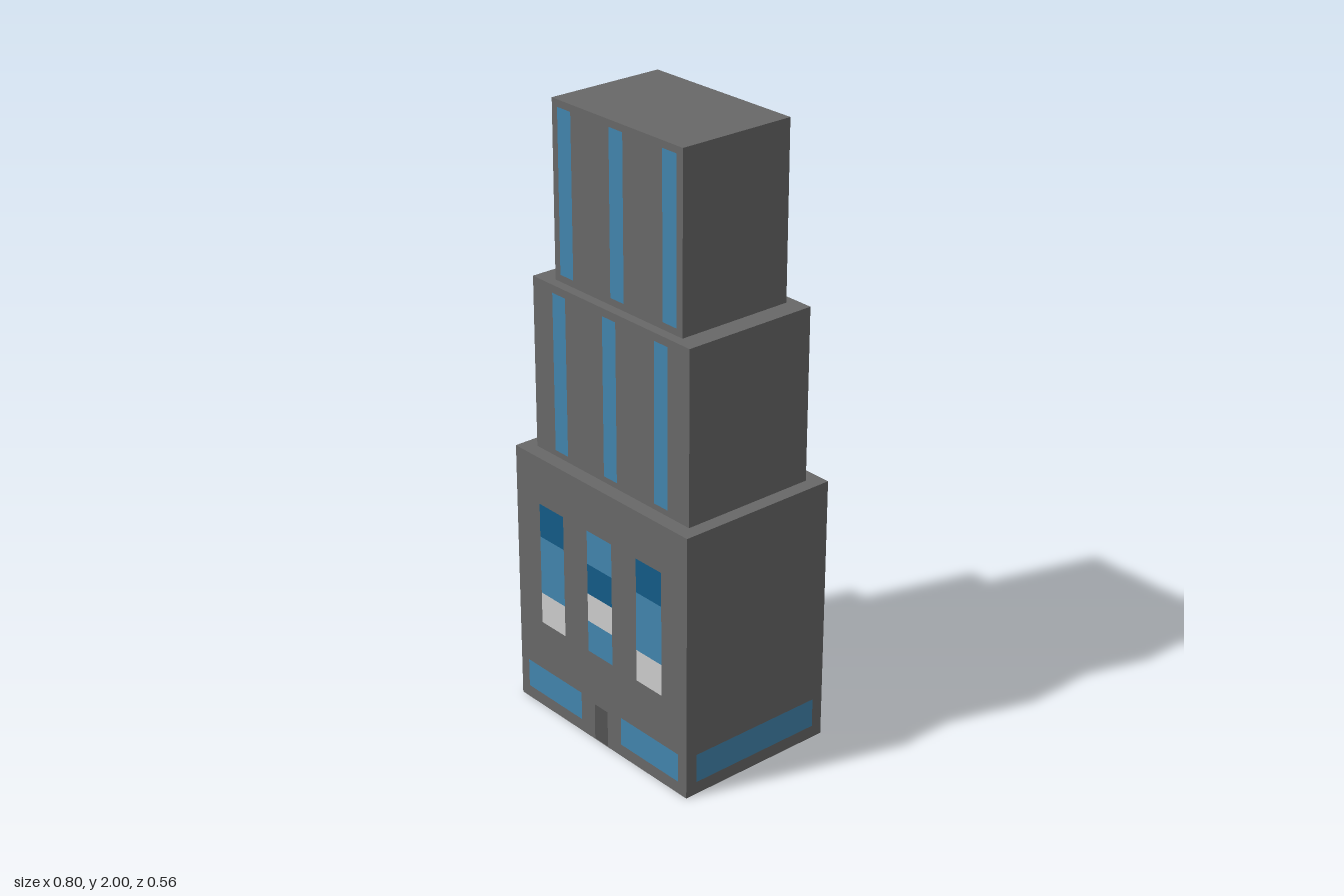
import * as THREE from 'three';

const paint = (color) => new THREE.MeshStandardMaterial({ color });

export function createModel() {
  const model = new THREE.Group();
  model.name = 'steppedTower';

  const wall = paint(0x686868);
  const blue = paint(0x4284ad);
  const darkBlue = paint(0x135b87);
  const pale = paint(0xbdbdbd);
  const doorGrey = paint(0x525252);
  const OFFSET = 0.001; // panels sit just proud of the walls

  // Stacked blocks, each set back from the one below
  const tiers = [
    { name: 'baseBlock', x: 0.398, z: 0.277, y0: 0, y1: 0.88 },
    { name: 'middleBlock', x: 0.352, z: 0.23, y0: 0.88, y1: 1.44 },
    { name: 'topBlock', x: 0.285, z: 0.198, y0: 1.44, y1: 2 },
  ];
  for (const t of tiers) {
    const block = new THREE.Mesh(new THREE.BoxGeometry(2 * t.x, t.y1 - t.y0, 2 * t.z), wall);
    block.position.y = (t.y0 + t.y1) / 2;
    block.name = t.name;
    model.add(block);
  }
  const [base, middle, top] = tiers;

  // Flat panel on the front wall of a tier
  function frontPanel(name, tier, x, width, y0, y1, material) {
    const panel = new THREE.Mesh(new THREE.PlaneGeometry(width, y1 - y0), material);
    panel.position.set(x, (y0 + y1) / 2, tier.z + OFFSET);
    panel.name = name;
    model.add(panel);
  }

  // Tall window strips on the upper tiers
  for (const x of [-0.23, 0, 0.23]) {
    frontPanel('middleWindowStrip', middle, x, 0.06, 0.9, 1.415, blue);
    frontPanel('topWindowStrip', top, x, 0.06, 1.463, 1.978, blue);
  }

  // Columns of coloured panes on the base: [bottom, top, material]
  const outerPanes = [[0.307, 0.413, pale], [0.413, 0.61, blue], [0.61, 0.723, darkBlue]];
  const centrePanes = [
    [0.307, 0.413, blue], [0.413, 0.508, pale], [0.508, 0.61, darkBlue], [0.61, 0.723, blue],
  ];
  for (const [x, panes] of [[-0.228, outerPanes], [0, centrePanes], [0.228, outerPanes]]) {
    for (const [y0, y1, material] of panes) frontPanel('windowPane', base, x, 0.115, y0, y1, material);
  }

  // Ground floor: door, front windows and one long window on each side wall
  frontPanel('door', base, 0, 0.062, 0.004, 0.127, doorGrey);
  for (const side of [-1, 1]) {
    frontPanel('groundWindow', base, side * 0.228, 0.265, 0.042, 0.138, blue);

    const sideWindow = new THREE.Mesh(new THREE.PlaneGeometry(0.476, 0.096), blue);
    sideWindow.position.set(side * (base.x + OFFSET), 0.09, 0);
    sideWindow.rotation.y = side * Math.PI / 2;
    sideWindow.name = 'sideWindow';
    model.add(sideWindow);
  }
  return model;
}
